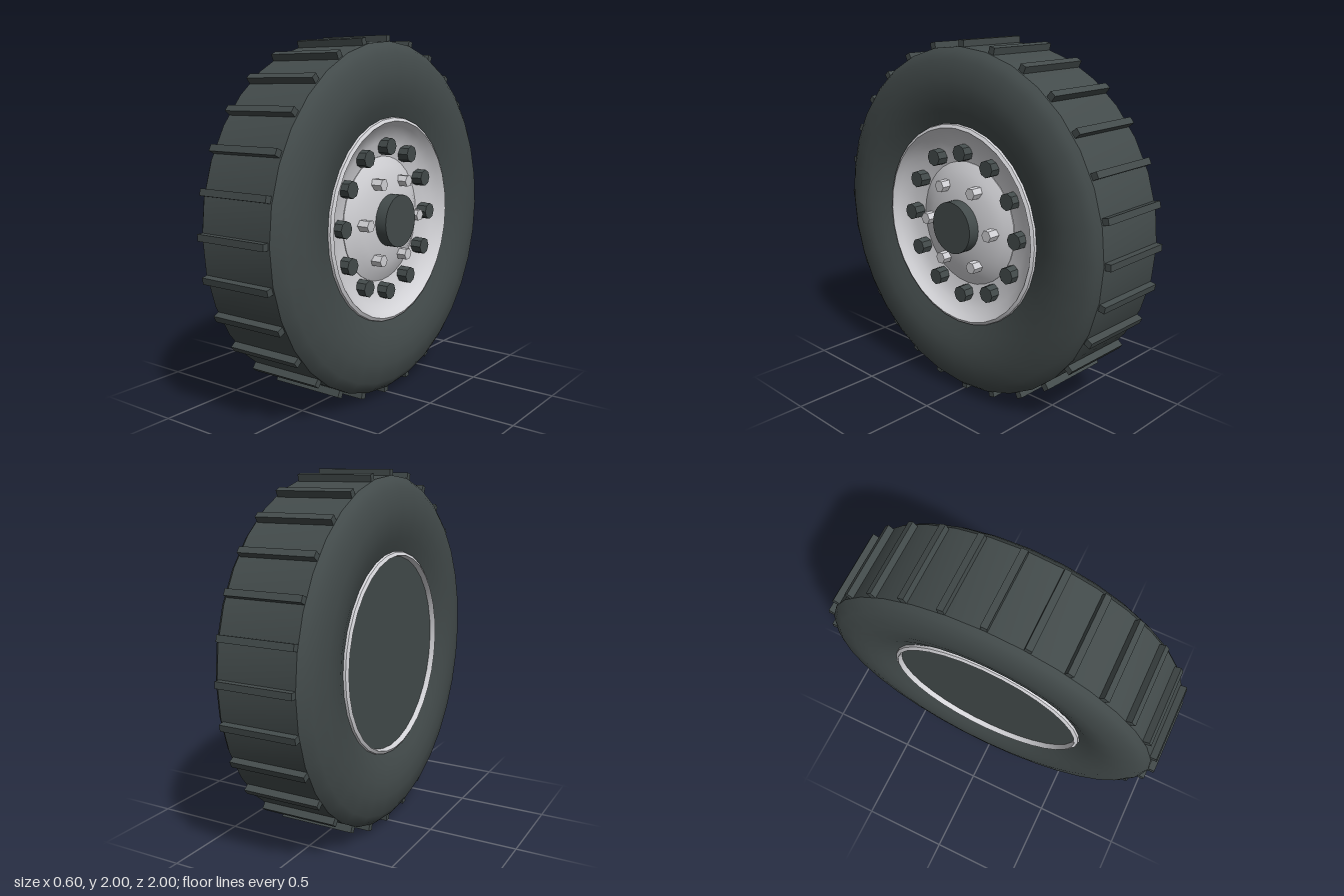
import * as THREE from 'three';
import { toCreasedNormals } from 'three/addons/utils/BufferGeometryUtils.js';

export function createModel() {
  const rubber = new THREE.MeshStandardMaterial({ color: 0x434b4b });
  rubber.name = 'darkRubber';
  const metal = new THREE.MeshStandardMaterial({ color: 0xd3d3d7 });
  metal.name = 'paleMetal';

  // Everything is built around the y axis, then the axle is laid along x
  const wheel = new THREE.Group();
  wheel.name = 'wheel';
  wheel.rotation.z = -Math.PI / 2;
  wheel.position.y = 1;

  const add = (name, geometry, material, parent = wheel) => {
    const mesh = new THREE.Mesh(geometry, material);
    mesh.name = name;
    parent.add(mesh);
    return mesh;
  };
  // Profiles are [radius, position along the axle]
  const turned = (profile, crease = 0.5) => toCreasedNormals(
    new THREE.LatheGeometry(profile.map(([r, a]) => new THREE.Vector2(r, a)), 32), crease);
  const MID = -0.0075;
  const mirrored = (profile) => profile.map(([r, a]) => [r, 2 * MID - a]).reverse();

  // Tire: flat tread band and two rounded sidewalls
  const sidewall = [[0.967, 0.215], [0.945, 0.24], [0.905, 0.265], [0.8, 0.285],
    [0.72, 0.281], [0.64, 0.264], [0.555, 0.232]];
  add('tread', turned([[0.967, -0.23], [0.967, 0.215]]), rubber);
  add('outerSidewall', turned(sidewall, 0.7), rubber);
  add('innerSidewall', turned(mirrored(sidewall), 0.7), rubber);

  // Cross bars on the tread
  const bars = new THREE.Group();
  bars.name = 'treadBars';
  wheel.add(bars);
  const barGeometry = new THREE.BoxGeometry(0.036, 0.435, 0.06);
  for (let i = 0; i < 28; i++) {
    const a = (i / 28) * Math.PI * 2;
    const bar = add('treadBar', barGeometry, rubber, bars);
    bar.position.set(Math.sin(a) * 0.97, -0.0125, Math.cos(a) * 0.97);
    bar.rotation.y = a;
  }

  // Outer rim: raised lip and concave dish
  add('rimDish', turned([[0.568, 0.225], [0.562, 0.248], [0.545, 0.258], [0.52, 0.229],
    [0.48, 0.199], [0.43, 0.177], [0.345, 0.163]]), metal);
  // Domed hub plate with centre cap
  add('hubPlate', turned([[0.35, 0.16], [0.35, 0.168], [0.3, 0.193], [0.24, 0.213],
    [0.14, 0.23], [0, 0.235]]), metal);
  const cap = add('centreCap',
    toCreasedNormals(new THREE.CylinderGeometry(0.145, 0.145, 0.075, 32), 0.5), rubber);
  cap.position.y = 0.2575;

  // Inner rim ring closed by a dark plate
  add('innerRim', turned([[0.535, -0.235], [0.545, -0.273], [0.562, -0.263], [0.568, -0.24]]
    ), metal);
  const plate = add('backPlate', new THREE.CircleGeometry(0.545, 32), rubber);
  plate.rotation.x = Math.PI / 2;
  plate.position.y = -0.243;

  // Rings of bolts
  const boltRing = (name, count, ring, radius, sides, from, to, material) => {
    const group = new THREE.Group();
    group.name = name + 's';
    wheel.add(group);
    const geometry = toCreasedNormals(
      new THREE.CylinderGeometry(radius, radius, to - from, sides), 0.5);
    for (let i = 0; i < count; i++) {
      const a = (i / count) * Math.PI * 2;
      add(name, geometry, material, group)
        .position.set(Math.sin(a) * ring, (from + to) / 2, Math.cos(a) * ring);
    }
  };
  boltRing('hubBolt', 6, 0.24, 0.034, 6, 0.19, 0.268, metal);
  boltRing('rimBolt', 12, 0.405, 0.047, 8, 0.15, 0.232, rubber);

  const model = new THREE.Group();
  model.name = 'truckWheel';
  model.add(wheel);
  return model;
}
